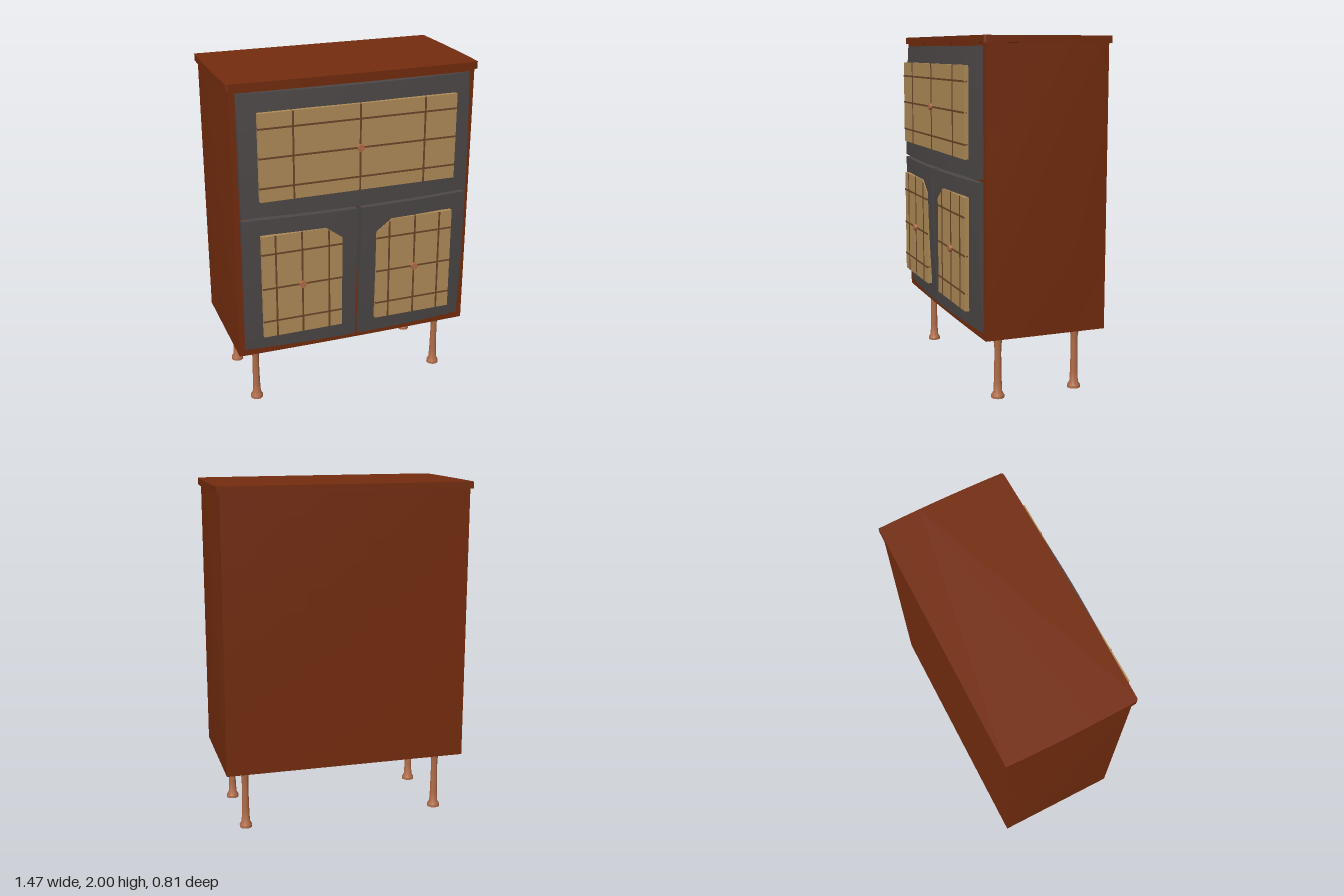
import * as THREE from 'three';
import { toCreasedNormals } from 'three/addons/utils/BufferGeometryUtils.js';

const flat = (name, color) => new THREE.MeshStandardMaterial({ name, color });

export function createModel() {
  const wood = flat('redWood', 0x742c0e);
  const grey = flat('doorGrey', 0x4c4847);
  const tan = flat('panelTan', 0xb08c58);
  const dark = flat('barBrown', 0x6b4629);
  const copper = flat('copperWood', 0xb06c48);
  const cabinet = new THREE.Group();
  cabinet.name = 'cabinet';

  const add = (name, geo, mat, parent = cabinet) => {
    const mesh = new THREE.Mesh(geo, mat);
    mesh.name = name;
    parent.add(mesh);
    return mesh;
  };

  // Box between limits, subdivided so that a rule can bow its faces
  const bowedBox = (x0, x1, y0, y1, z0, z1, n, rule) => {
    const geo = new THREE.BoxGeometry(x1 - x0, y1 - y0, z1 - z0, n, n, n);
    geo.translate((x0 + x1) / 2, (y0 + y1) / 2, (z0 + z1) / 2);
    const p = geo.attributes.position;
    const v = new THREE.Vector3();
    for (let i = 0; i < p.count; i++) {
      rule(v.fromBufferAttribute(p, i));
      p.setXYZ(i, v.x, v.y, v.z);
    }
    return toCreasedNormals(geo, 0.5);
  };
  const bow = (t) => 1 - t * t;

  // Carcass with slightly swollen sides and front
  add('carcass', bowedBox(-0.714, 0.714, 0.37, 1.96, -0.395, 0.317, 12, (v) => {
    const u = v.x / 0.714, h = (v.y - 1.165) / 0.795, d = (v.z + 0.04) / 0.357;
    v.x += u * 0.014 * bow(h) * bow(d);
    if (d > 0) v.z += d * 0.008 * bow(u);
  }), wood);

  // Overhanging top with gently curved outline
  const outline = new THREE.Shape();
  outline.moveTo(-0.73, 0.405);
  outline.lineTo(0.73, 0.405);
  outline.quadraticCurveTo(0.742, 0.04, 0.73, -0.32);
  outline.quadraticCurveTo(0.728, -0.333, 0.71, -0.333);
  outline.quadraticCurveTo(0, -0.347, -0.71, -0.333);
  outline.quadraticCurveTo(-0.728, -0.333, -0.73, -0.32);
  outline.quadraticCurveTo(-0.742, 0.04, -0.73, 0.405);
  const topGeo = new THREE.ExtrudeGeometry(outline, { depth: 0.04, bevelEnabled: false, curveSegments: 12 });
  topGeo.rotateX(-Math.PI / 2).translate(0, 1.96, 0);
  add('topBoard', toCreasedNormals(topGeo, 0.5), wood);

  // Doors share one pillow-shaped front surface
  const door = (name, x0, x1, y0, y1) => add(name, bowedBox(x0, x1, y0, y1, 0.3, 0.32, 16, (v) => {
    if (v.z > 0.315) v.z = 0.325 + 0.035 * bow(v.x / 0.68) + 0.025 * bow((v.y - 1.24) / 0.75);
    else if (v.z > 0.305) v.z = 0.305;
  }), grey);
  door('upperDoor', -0.68, 0.68, 1.248, 1.945);
  door('leftDoor', 0.012, 0.68, 0.41, 1.232);
  door('rightDoor', -0.68, -0.012, 0.41, 1.232);

  // Panel with lattice bars and a round knob
  const panel = (name, points, xs, ys, [x0, x1], [y0, y1], barTop = () => y1) => {
    const group = new THREE.Group();
    group.name = name;
    cabinet.add(group);
    const shape = new THREE.Shape(points.map(([x, y]) => new THREE.Vector2(x, y)));
    add('panel', new THREE.ExtrudeGeometry(shape, { depth: 0.024, bevelEnabled: false }), tan, group).position.z = 0.364;
    const bar = (x, y, w, h) => add('bar', new THREE.BoxGeometry(w, h, 0.02), dark, group).position.set(x, y, 0.381);
    for (const x of xs) bar(x, (y0 + barTop(x)) / 2, 0.01, barTop(x) - y0);
    for (const y of ys) bar((x0 + x1) / 2, y, x1 - x0, 0.01);
    const knob = add('knob', new THREE.CylinderGeometry(0.02, 0.02, 0.03, 20), copper, group);
    knob.rotation.x = Math.PI / 2;
    knob.position.set(xs[1], ys[1], 0.39);
  };
  panel('upperPanel', [[-0.58, 1.345], [0.58, 1.345], [0.58, 1.845], [-0.58, 1.845]],
    [-0.386, 0, 0.386], [1.425, 1.595, 1.76], [-0.58, 0.58], [1.345, 1.845]);
  for (const s of [1, -1]) {
    // Inner top corner is cut off
    const pts = [[0.105, 0.51], [0.58, 0.51], [0.58, 1.14], [0.2, 1.14], [0.105, 1.07]];
    panel(s > 0 ? 'leftPanel' : 'rightPanel', pts.map(([x, y]) => [s * x, y]),
      [0.185 * s, 0.345 * s, 0.5 * s], [0.61, 0.818, 1.03],
      s > 0 ? [0.105, 0.58] : [-0.58, -0.105], [0.51, 1.14],
      (x) => (Math.abs(x) < 0.2 ? 1.125 : 1.14));
  }

  // Turned legs
  const profile = [[0, 0], [0.037, 0], [0.037, 0.015], [0.025, 0.035], [0.022, 0.1],
    [0.019, 0.25], [0.02, 0.3], [0.027, 0.35], [0.028, 0.375]];
  const legGeo = toCreasedNormals(
    new THREE.LatheGeometry(profile.map(([r, y]) => new THREE.Vector2(r, y)), 20), 0.6);
  for (const x of [-0.59, 0.59]) {
    for (const z of [0.2, -0.27]) {
      add(z > 0 ? 'frontLeg' : 'backLeg', legGeo, copper).position.set(x, 0, z);
    }
  }
  return cabinet;
}
